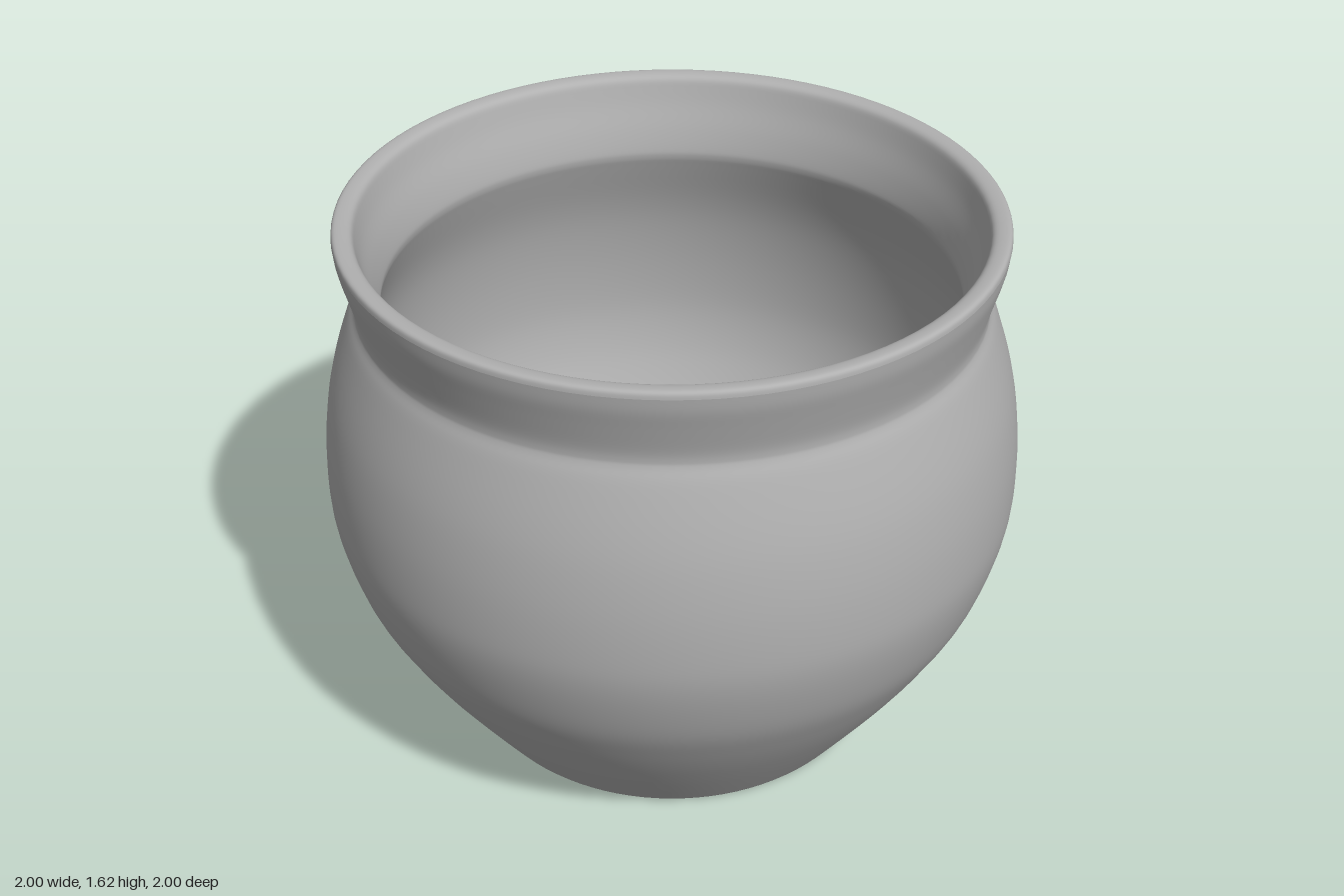
import * as THREE from 'three';

const SEGMENTS = 96;
const points = (list) => list.map(([x, y]) => new THREE.Vector2(x, y));

// Smooth profile through a few radius/height points
const smooth = (list, steps) => new THREE.SplineCurve(points(list)).getPoints(steps);

export function createModel() {
  const pot = new THREE.Group();
  pot.name = 'pot';
  const clay = new THREE.MeshStandardMaterial({ color: 0xb0b0b0 });
  clay.name = 'grey clay';

  const addLathe = (name, profile) => {
    const mesh = new THREE.Mesh(new THREE.LatheGeometry(profile, SEGMENTS), clay);
    mesh.name = name;
    pot.add(mesh);
  };

  // Underside with its small rounded foot edge
  addLathe('base', points([[0, 0], [0.595, 0]]));
  addLathe('footEdge', points([[0.595, 0], [0.604, 0.003], [0.612, 0.012]]));

  // Belly rising to the narrow neck, then the flared collar
  addLathe('outerWall', smooth([
    [0.612, 0.012], [0.675, 0.1], [0.745, 0.2], [0.815, 0.305], [0.875, 0.405], [0.93, 0.51],
    [0.968, 0.62], [0.993, 0.73], [1, 0.83], [0.995, 0.96], [0.977, 1.09],
    [0.95, 1.2], [0.91, 1.32], [0.89, 1.365], [0.886, 1.385], [0.89, 1.42],
    [0.908, 1.49], [0.924, 1.55], [0.93, 1.595],
  ], 72));

  // Rounded lip
  addLathe('rim', smooth([
    [0.93, 1.595], [0.927, 1.609], [0.915, 1.615], [0.888, 1.612], [0.873, 1.601], [0.866, 1.58],
  ], 16));

  // Hollow inside, following the outside shape
  addLathe('innerWall', smooth([
    [0.866, 1.58], [0.852, 1.53], [0.828, 1.46], [0.813, 1.4], [0.812, 1.37], [0.825, 1.33],
    [0.872, 1.2], [0.9, 1.09], [0.918, 0.96], [0.924, 0.83], [0.917, 0.73], [0.894, 0.63],
    [0.858, 0.54], [0.81, 0.445], [0.75, 0.34], [0.68, 0.235], [0.565, 0.075],
  ], 68));
  addLathe('floor', points([[0.565, 0.075], [0, 0.075]]));

  return pot;
}
